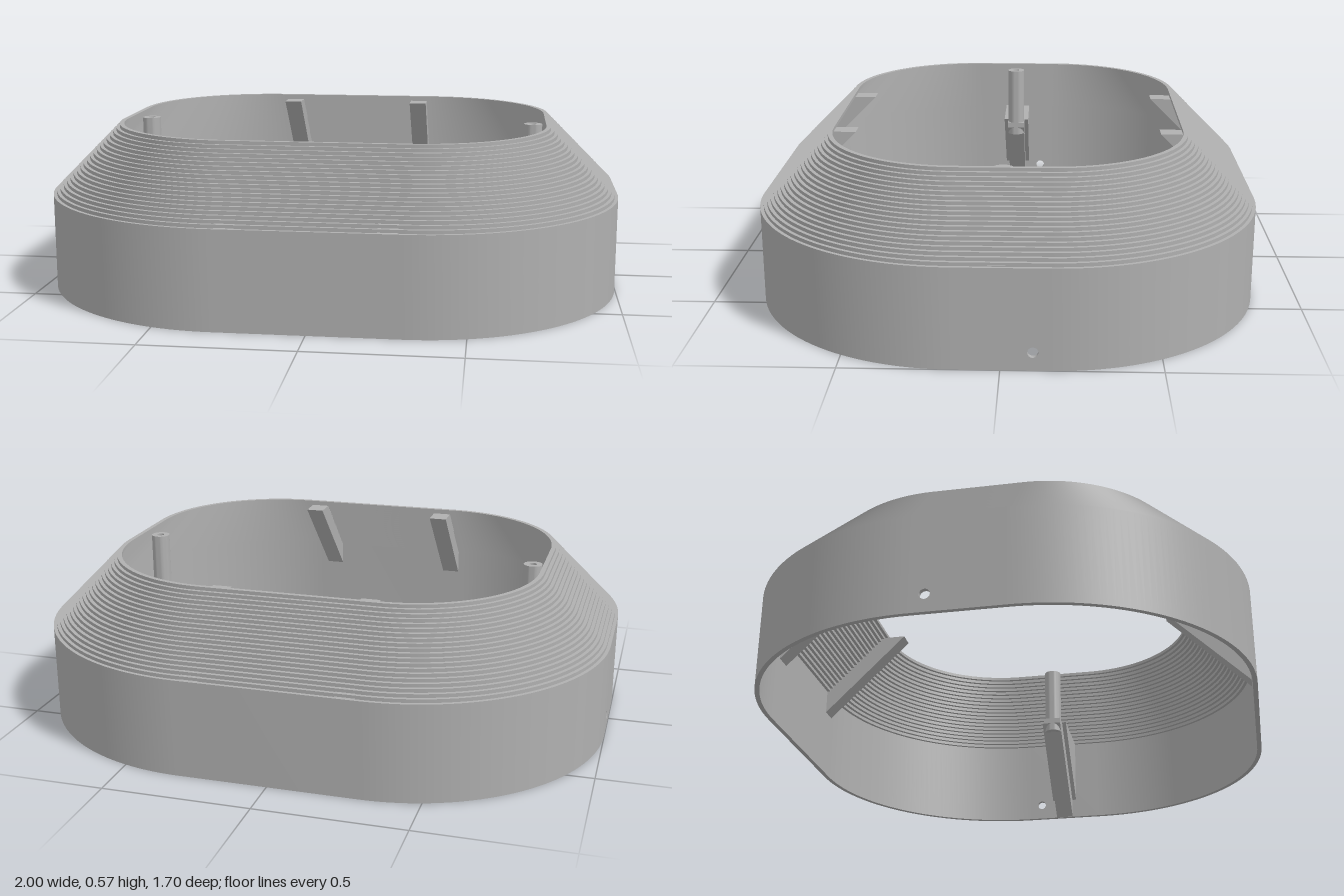
import * as THREE from 'three';
import { toCreasedNormals } from 'three/addons/utils/BufferGeometryUtils.js';

const CX = 0.3, CZ = 0.15;      // centres of the corner arcs
const R = 0.7, T = 0.016;       // outer corner radius, shell thickness
const WALL = 0.332, TOP = 0.57; // wall height, full height
const LAYERS = 20;

// Rounded rectangle grown by radius r around the corner centres
function outline(path, r) {
  path.moveTo(CX + r, -CZ);
  path.lineTo(CX + r, CZ);
  path.absarc(CX, CZ, r, 0, Math.PI / 2, false);
  path.absarc(-CX, CZ, r, Math.PI / 2, Math.PI, false);
  path.absarc(-CX, -CZ, r, Math.PI, Math.PI * 1.5, false);
  path.absarc(CX, -CZ, r, Math.PI * 1.5, Math.PI * 2, false);
  return path;
}

function extrude(shape, depth, curveSegments = 24) {
  return new THREE.ExtrudeGeometry(shape, { depth, curveSegments, bevelEnabled: false });
}

// Flat plan shape raised upwards by height
function raise(shape, height) {
  return toCreasedNormals(extrude(shape, height).rotateX(-Math.PI / 2), 0.5);
}

// Side profile (distance from centre, height) with a width
function bracket(points, width) {
  const shape = new THREE.Shape(points.map(p => new THREE.Vector2(...p)));
  return extrude(shape, width).translate(0, 0, -width / 2);
}

export function createModel() {
  const model = new THREE.Group();
  const grey = new THREE.MeshStandardMaterial({ color: 0xb0b0b0 });
  grey.name = 'plainGrey';
  const add = (name, geometry, parent = model) => {
    const mesh = new THREE.Mesh(geometry, grey);
    mesh.name = name;
    parent.add(mesh);
    return mesh;
  };

  // Curved front and back halves of the wall
  const half = new THREE.Shape();
  half.moveTo(CX + R, CZ);
  half.absarc(CX, CZ, R, 0, Math.PI / 2, false);
  half.absarc(-CX, CZ, R, Math.PI / 2, Math.PI, false);
  half.lineTo(-CX - R + T, CZ);
  half.absarc(-CX, CZ, R - T, Math.PI, Math.PI / 2, true);
  half.absarc(CX, CZ, R - T, Math.PI / 2, 0, true);
  const halfGeometry = raise(half, WALL);
  add('backWall', halfGeometry);
  add('frontWall', halfGeometry).rotation.y = Math.PI;

  // Flat side panels, each with a small round hole
  const panel = new THREE.Shape();
  panel.moveTo(-CZ, 0);
  panel.lineTo(CZ, 0);
  panel.lineTo(CZ, WALL);
  panel.lineTo(-CZ, WALL);
  panel.holes.push(new THREE.Path().absarc(0.1, 0.06, 0.017, 0, Math.PI * 2, true));
  const panelGeometry = extrude(panel, T).rotateY(Math.PI / 2);
  add('leftWall', panelGeometry).position.x = CX + R - T;
  add('rightWall', panelGeometry).position.x = -CX - R;

  // Stepped sloping roof made of stacked rings
  const roof = new THREE.Group();
  roof.name = 'steppedRoof';
  model.add(roof);
  const step = 0.237 / LAYERS, rise = (TOP - WALL) / LAYERS;
  for (let i = 0; i < LAYERS; i++) {
    const r = R - step * (i + 1);
    const ring = outline(new THREE.Shape(), r);
    ring.holes.push(outline(new THREE.Path(), r - T));
    add('roofLayer', raise(ring, rise), roof).position.y = WALL + i * rise;
  }

  // Sloping struts under the front and back of the roof
  const strut = bracket([[0.525, 0.55], [0.612, 0.55], [0.842, 0.33], [0.842, 0.235]], 0.065);
  for (const side of [1, -1]) {
    for (const x of [0.255, -0.255]) {
      const mesh = add('roofStrut', strut);
      mesh.rotation.y = -side * Math.PI / 2;
      mesh.position.x = x;
    }
  }

  // Screw posts on gussets at the two sides
  const gusset = bracket([[0.727, 0.335], [0.99, 0.335], [0.99, 0.07]], 0.1);
  const brace = bracket([[0.672, 0.334], [0.727, 0.334], [0.99, 0.071], [0.99, 0], [0.985, 0], [0.672, 0.313]], 0.068);
  const tube = new THREE.Shape().absarc(0, 0, 0.033, 0, Math.PI * 2, false);
  tube.holes.push(new THREE.Path().absarc(0, 0, 0.013, 0, Math.PI * 2, true));
  const postGeometry = raise(tube, 0.27);
  for (const side of [1, -1]) {
    const mount = new THREE.Group();
    mount.name = side > 0 ? 'leftPostMount' : 'rightPostMount';
    mount.rotation.y = side > 0 ? 0 : Math.PI;
    add('gusset', gusset, mount);
    add('brace', brace, mount);
    add('post', postGeometry, mount).position.set(0.705, 0.283, 0);
    model.add(mount);
  }
  return model;
}
